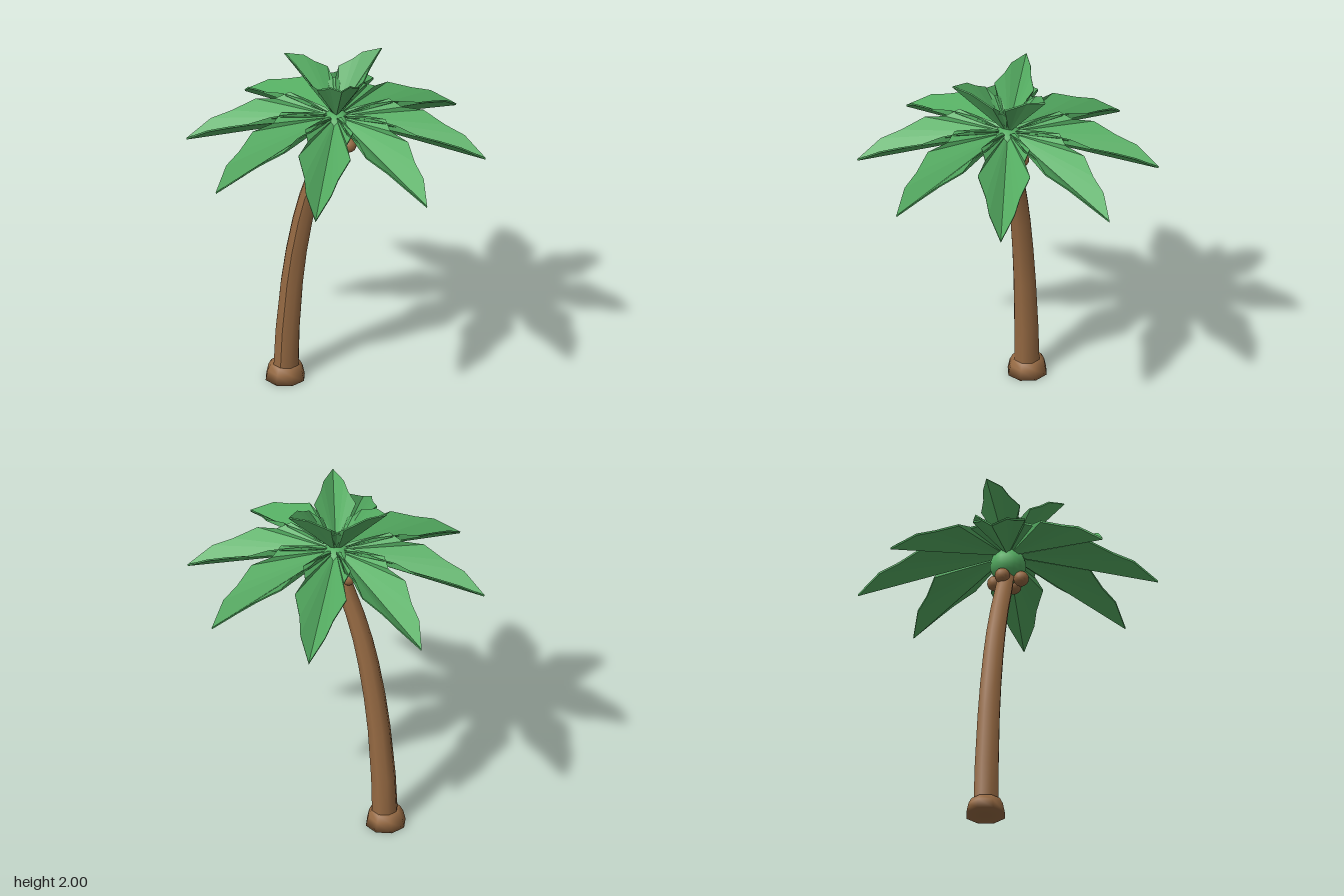
import * as THREE from 'three';

const bark = new THREE.MeshStandardMaterial({ color: 0x966a43 });
bark.name = 'bark brown';
const leaf = new THREE.MeshStandardMaterial({ color: 0x55ad62, side: THREE.DoubleSide });
leaf.name = 'leaf green';

function add(parent, name, geometry, material, x = 0, y = 0, z = 0) {
  const mesh = new THREE.Mesh(geometry, material);
  mesh.name = name;
  mesh.position.set(x, y, z);
  parent.add(mesh);
  return mesh;
}

// Curved trunk: a cylinder whose rings follow [height, x, radius]
function trunkGeometry() {
  const rings = [
    [0.07, -0.297, 0.072], [0.3, -0.288, 0.069], [0.6, -0.262, 0.064], [0.8, -0.235, 0.061],
    [1.0, -0.198, 0.058], [1.15, -0.162, 0.055], [1.3, -0.115, 0.052], [1.42, -0.068, 0.05],
    [1.58, -0.008, 0.045],
  ];
  const geo = new THREE.CylinderGeometry(1, 1, 1, 8, rings.length - 1, true);
  const pos = geo.attributes.position;
  for (let i = 0; i < pos.count; i++) {
    const k = Math.round((0.5 + pos.getY(i)) * (rings.length - 1));
    const [y, x, r] = rings[k];
    pos.setXYZ(i, x + pos.getX(i) * r, y, pos.getZ(i) * r);
  }
  geo.computeVertexNormals();
  return geo;
}

// Frond: thin V-shaped blade with a straight keel along +x and raised, lobed edges;
// the long flat facets fan out from the foot of the keel
function frondGeometry() {
  // distance along keel, lift above it, sideways offset
  const edge = [
    [0.055, 0.04, 0.04], [0.165, 0.09, 0.085], [0.249, 0.118, 0.13], [0.33, 0.104, 0.106],
    [0.444, 0.102, 0.141], [0.579, 0.078, 0.093], [0.695, 0.062, 0.069], [0.837, 0, 0],
  ];
  const foot = [0.01, 0, 0];
  const below = ([x, y, z]) => [x, y - 0.01, z];
  const points = [];
  const triangle = (a, b, c) => points.push(...a, ...b, ...c);
  for (const side of [1, -1]) {
    const outline = edge.map(([x, y, z]) => [x, y, z * side]);
    if (side < 0) outline.reverse();
    for (let i = 0; i < outline.length - 1; i++) {
      const a = outline[i], b = outline[i + 1];
      triangle(foot, a, b);
      triangle(below(foot), below(b), below(a));
      triangle(a, below(a), b);
      triangle(b, below(a), below(b));
    }
  }
  // Wind every facet so its top faces up
  for (let i = 0; i < points.length; i += 9) {
    const b = points.slice(i + 3, i + 6), c = points.slice(i + 6, i + 9);
    points.splice(i + 3, 6, ...c, ...b);
  }
  const geo = new THREE.BufferGeometry();
  geo.setAttribute('position', new THREE.Float32BufferAttribute(points, 3));
  geo.computeVertexNormals();
  return geo;
}

export function createModel() {
  const palm = new THREE.Group();
  palm.name = 'palmTree';

  // Trunk and its flared foot
  add(palm, 'trunk', trunkGeometry(), bark);
  const foot = [[0, 0], [0.112, 0], [0.1, 0.055], [0.083, 0.088], [0.068, 0.09], [0, 0.09]];
  add(palm, 'trunkFoot',
    new THREE.LatheGeometry(foot.map(([x, y]) => new THREE.Vector2(x, y)), 8), bark, -0.302);

  // Crown heart with four coconuts beneath it
  add(palm, 'crownHeart', new THREE.SphereGeometry(0.098, 16, 12), leaf, 0, 1.61, 0);
  for (let i = 0; i < 4; i++) {
    const a = i * Math.PI / 2;
    add(palm, 'coconut', new THREE.SphereGeometry(0.042, 14, 10), bark,
      Math.cos(a) * 0.077, 1.52, Math.sin(a) * 0.077);
  }

  // Rings of fronds: eight drooping, three small upright
  const ring = (name, count, start, pitch, length, girth) => {
    const blade = frondGeometry().scale(length, girth, girth)
      .rotateZ(THREE.MathUtils.degToRad(pitch));
    for (let i = 0; i < count; i++) {
      const frond = add(palm, name, blade, leaf, 0, 1.68, 0);
      frond.rotation.y = -THREE.MathUtils.degToRad(start + i * 360 / count);
    }
  };
  ring('droopingFrond', 8, 27.7, -13.7, 1, 1);
  ring('uprightFrond', 3, 59, 46.8, 0.525, 0.8);
  return palm;
}
